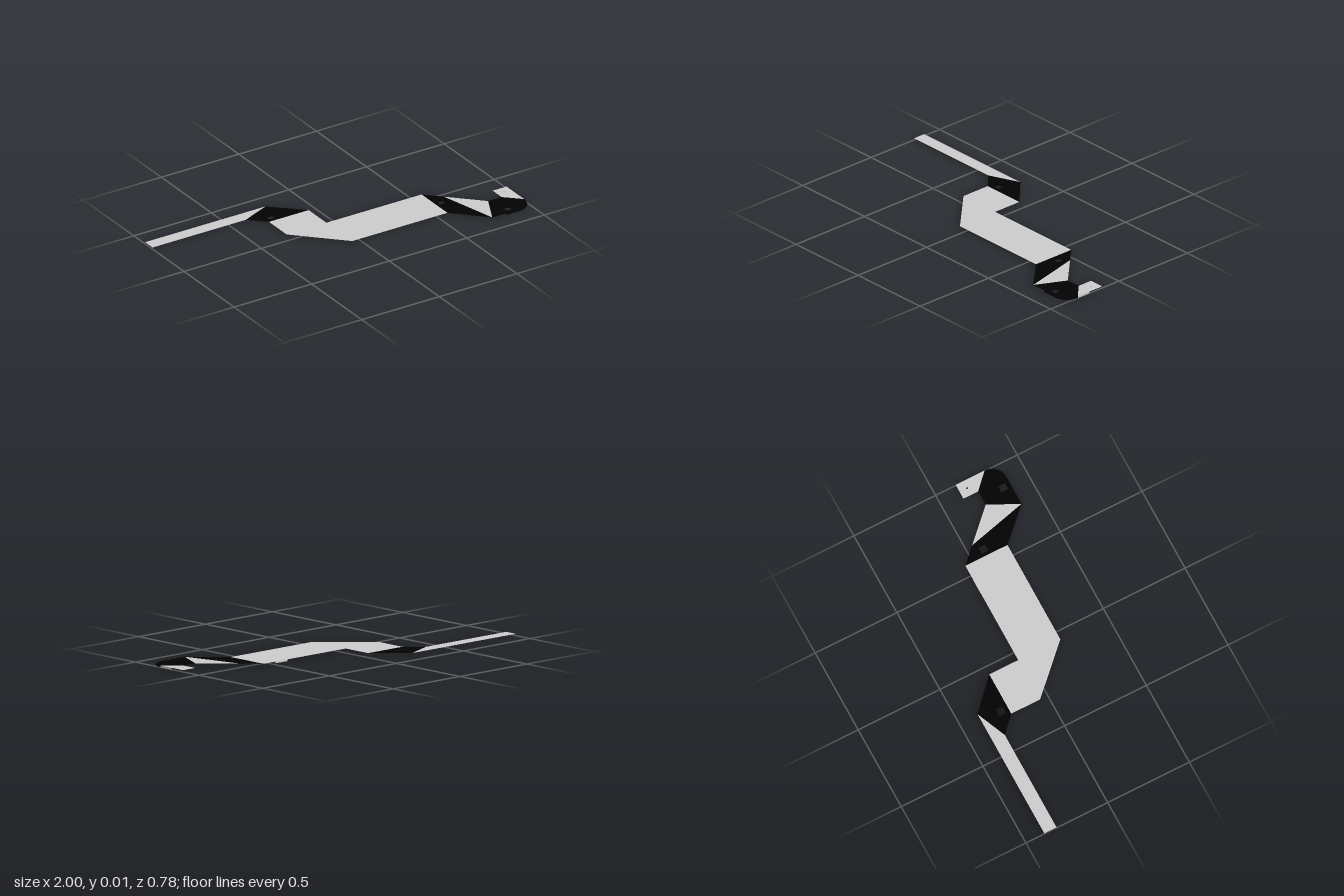
import * as THREE from 'three';

const H = 0.01; // height of the sheet above the ground
const grey = new THREE.MeshStandardMaterial({ color: 0xcccccc, side: THREE.DoubleSide });
const black = new THREE.MeshStandardMaterial({ color: 0x020202, side: THREE.DoubleSide });

// Flat panel outlined by [x, z] points
function panel(name, points, material, holes = [], height = H) {
  const toV = ([x, z]) => new THREE.Vector2(x, -z);
  const shape = new THREE.Shape(points.map(toV));
  holes.forEach((h) => shape.holes.push(new THREE.Path(h.map(toV))));
  const geo = new THREE.ShapeGeometry(shape);
  geo.rotateX(-Math.PI / 2);
  geo.translate(0, height, 0);
  const mesh = new THREE.Mesh(geo, material);
  mesh.name = name;
  return mesh;
}

// Thin upright lip hanging from the sheet down to the ground along [x, z] points
function lip(name, points, material, closed = false) {
  const pts = closed ? [...points, points[0]] : points;
  const pos = [];
  for (let i = 0; i < pts.length - 1; i++) {
    const [ax, az] = pts[i], [bx, bz] = pts[i + 1];
    pos.push(ax, 0, az, bx, 0, bz, bx, H, bz, ax, 0, az, bx, H, bz, ax, H, az);
  }
  const geo = new THREE.BufferGeometry();
  geo.setAttribute('position', new THREE.Float32BufferAttribute(pos, 3));
  geo.computeVertexNormals();
  const mesh = new THREE.Mesh(geo, material);
  mesh.name = name;
  return mesh;
}

// Regular polygon used for the holes
function ring(cx, cz, r, n, turn = 0) {
  return Array.from({ length: n }, (_, i) => {
    const a = turn + (i / n) * Math.PI * 2;
    return [cx + r * Math.cos(a), cz + r * Math.sin(a)];
  });
}
const square = (cx, cz) => ring(cx, cz, 0.0215 * Math.SQRT2, 4, Math.PI / 4);

export function createModel() {
  const g = new THREE.Group();
  g.name = 'bentStrip';

  const hole1 = square(-0.267, -0.267);
  const hole2 = square(0.604, 0.084);
  const hole3 = square(0.867, 0.343);
  const pinHole = ring(0.956, 0.17, 0.006, 24);

  // Rounded outer corner of the hook
  const arc = [];
  for (let i = 0; i <= 12; i++) {
    const a = (i / 12) * Math.PI / 2;
    arc.push([0.915 + 0.085 * Math.sin(a), 0.3 + 0.088 * Math.cos(a)]);
  }

  // Long narrow tail and wide cranked body
  g.add(panel('tailStrip', [[-1, -0.388], [-0.224, -0.388], [-0.4, -0.313], [-1, -0.313]], grey));
  g.add(panel('mainBody', [[-0.307, -0.225], [-0.051, -0.225], [-0.051, -0.048],
    [0.563, -0.048], [0.563, 0.21], [-0.051, 0.21], [-0.307, -0.048]], grey));

  // Black joint between tail and body
  g.add(panel('tailJoint', [[-0.4, -0.313], [-0.224, -0.388], [-0.051, -0.225], [-0.307, -0.225]],
    black, [hole1]));

  // Black joint between body and hook, with a grey wedge that is black underneath
  const wedge = [[0.65, 0.04], [0.823, 0.213], [0.737, 0.388]];
  g.add(panel('hookJoint', [[0.563, -0.048], [0.65, 0.04], [0.737, 0.388], [0.563, 0.21]],
    black, [hole2]));
  g.add(panel('wedgeTop', wedge, grey));
  g.add(panel('wedgeUnderside', wedge, black, [], H - 0.001));

  // Rounded hook and its end tab
  g.add(panel('hook', [[0.737, 0.388], ...arc, [0.91, 0.213], [0.823, 0.213]], black, [hole3]));
  g.add(panel('endTab', [[0.91, 0.123], [1, 0.123], [1, 0.3], [0.91, 0.213]], grey, [pinHole]));

  // Hole walls
  [hole1, hole2, hole3].forEach((h) => g.add(lip('squareHoleWall', h, black, true)));
  g.add(lip('pinHoleWall', pinHole, grey, true));

  // Edge lips
  g.add(lip('hookLip', [[0.825, 0.388], ...arc], black));
  g.add(lip('tabLip', [[1, 0.3], [1, 0.215]], grey));
  g.add(lip('bodyLip', [[0.385, -0.048], [0.475, -0.048]], grey));

  return g;
}
